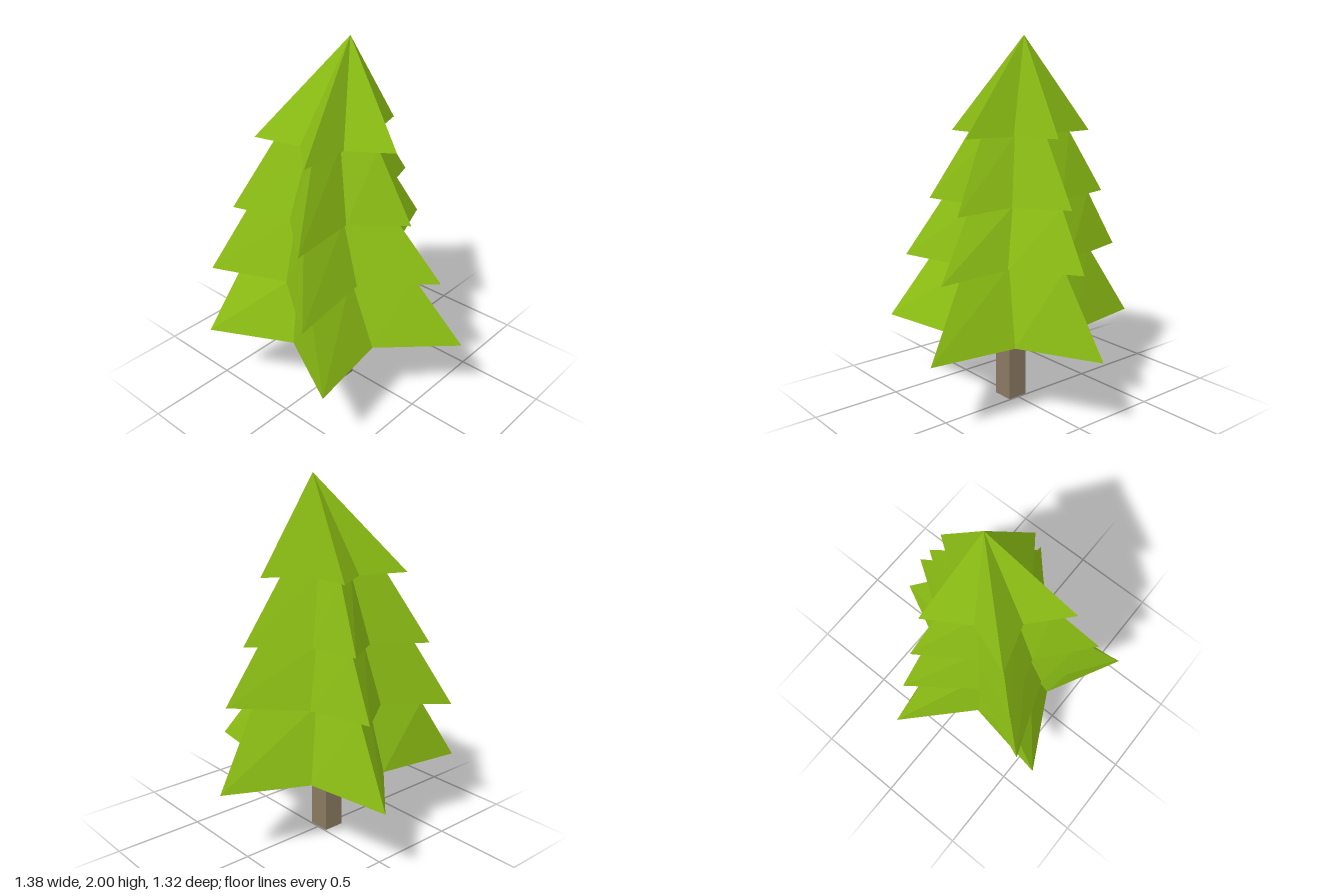
import * as THREE from 'three';

const LEAF = new THREE.MeshStandardMaterial({ color: 0x8bbd14, flatShading: true });
const BARK = new THREE.MeshStandardMaterial({ color: 0x8a7a62, flatShading: true });

// Five branch tips per tier (back, left, front left, front right, right), bottom tier first.
// "top" is the size of the tier's upper rim relative to the base of the tier above.
const TIERS = [
  { top: 0.75, tips: [[0, 0.415, -0.66], [0.69, 0.415, -0.16], [0.425, 0.415, 0.645], [-0.425, 0.415, 0.645], [-0.69, 0.415, -0.16]] },
  { top: 0.84, tips: [[0.055, 0.855, -0.57], [0.575, 0.79, -0.095], [0.305, 0.755, 0.655], [-0.475, 0.755, 0.555], [-0.57, 0.84, -0.16]] },
  { top: 0.72, tips: [[0.04, 1.16, -0.46], [0.42, 1.105, -0.026], [0.195, 1.09, 0.56], [-0.4, 1.11, 0.44], [-0.467, 1.16, -0.16]] },
  { top: 0, tips: [[0.033, 1.5, -0.35], [0.338, 1.49, 0.004], [0.122, 1.485, 0.43], [-0.325, 1.495, 0.33], [-0.37, 1.5, -0.15]] },
];
const APEX = new THREE.Vector3(-0.005, 2, -0.04);

// Ten-point star: each valley lies opposite a tip, half as far from the centre
function star(tips) {
  const pts = tips.map((t) => new THREE.Vector3(...t));
  const centre = pts.reduce((s, p) => s.add(p), new THREE.Vector3()).divideScalar(5);
  const ring = [];
  pts.forEach((p, i) => ring.push(p, centre.clone().lerp(pts[(i + 3) % 5], -0.5)));
  return { centre, ring };
}

const scaled = ({ centre, ring }, s) => ring.map((p) => centre.clone().lerp(p, s));

// Band of flat faces between two rings; collapsed triangles are left out
function band(out, lower, upper) {
  const tri = (a, b, c) => {
    if (a.distanceTo(b) > 1e-6 && b.distanceTo(c) > 1e-6 && c.distanceTo(a) > 1e-6) {
      for (const p of [a, b, c]) out.push(p.x, p.y, p.z);
    }
  };
  lower.forEach((_, i) => {
    const j = (i + 1) % lower.length;
    tri(lower[j], lower[i], upper[i]);
    tri(lower[j], upper[i], upper[j]);
  });
}

export function createModel() {
  const tree = new THREE.Group();
  tree.name = 'tree';

  // Foliage: star-shaped tiers, each with an underside and sloping sides
  const stars = TIERS.map((t) => star(t.tips));
  let inner = scaled(stars[0], 0);
  stars.forEach((s, i) => {
    const last = i === stars.length - 1;
    const rim = last ? s.ring.map(() => APEX) : scaled(stars[i + 1], TIERS[i].top);
    const pos = [];
    band(pos, inner, s.ring);
    band(pos, s.ring, rim);
    inner = rim;
    const geo = new THREE.BufferGeometry();
    geo.setAttribute('position', new THREE.Float32BufferAttribute(pos, 3));
    geo.computeVertexNormals();
    const mesh = new THREE.Mesh(geo, LEAF);
    mesh.name = `foliageTier${i + 1}`;
    tree.add(mesh);
  });

  // Square trunk
  const trunk = new THREE.Mesh(new THREE.BoxGeometry(0.12, 0.415, 0.12), BARK);
  trunk.position.set(0, 0.2075, 0.066);
  trunk.name = 'trunk';
  tree.add(trunk);

  return tree;
}
